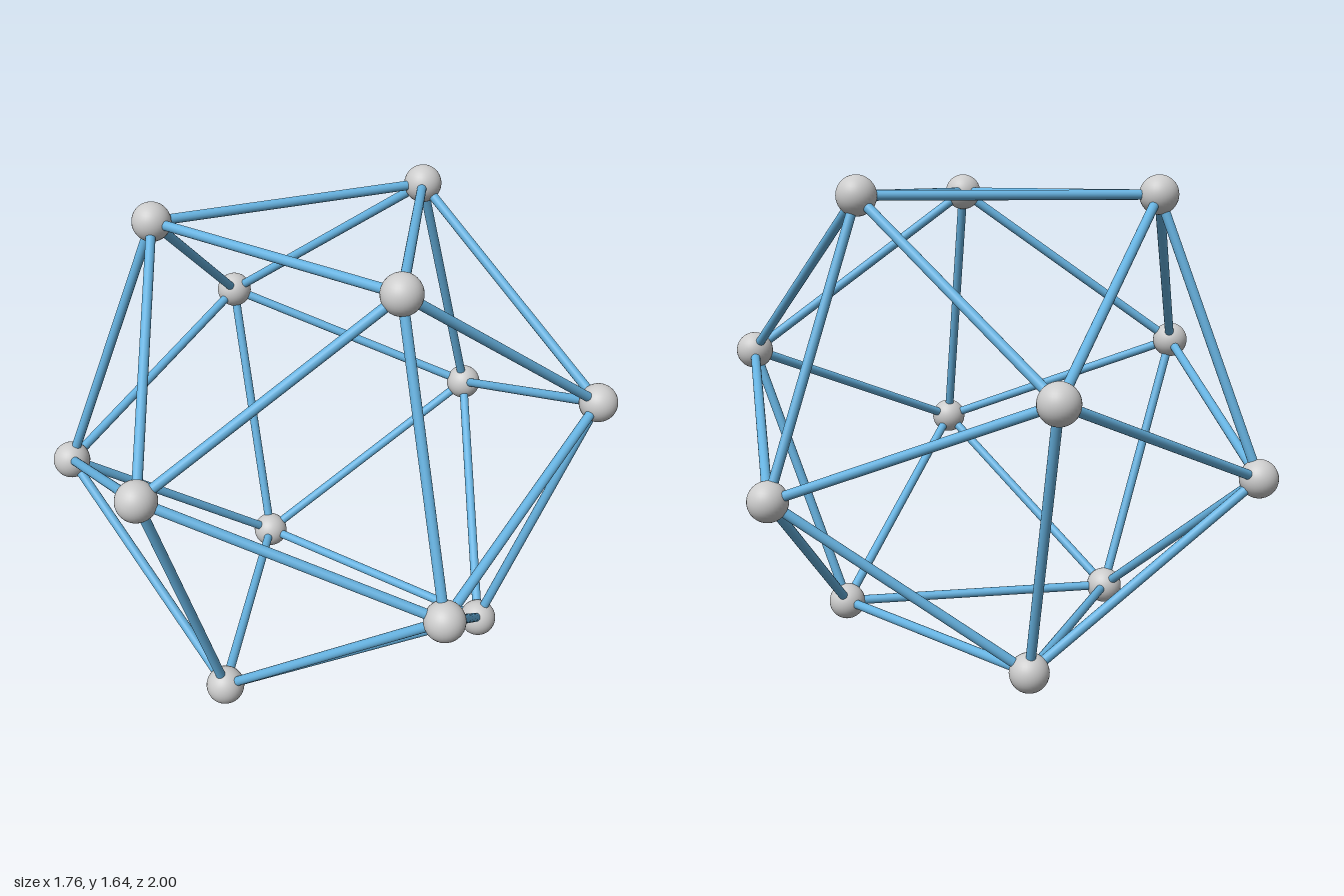
import * as THREE from 'three';

const EDGE = 1, BALL_R = 0.066, ROD_R = 0.0165;

export function createModel() {
  const model = new THREE.Group();
  model.name = 'icosahedronFrame';
  const ballMat = new THREE.MeshStandardMaterial({ color: 0xcccccc });
  const rodMat = new THREE.MeshStandardMaterial({ color: 0x66b2e0 });

  // Icosahedron resting on a face: four triangular rings of corners
  const phi = (1 + Math.sqrt(5)) / 2;
  const small = EDGE / Math.sqrt(3), large = small * phi;
  const height = EDGE * phi * phi / Math.sqrt(3);
  const step = EDGE * Math.sqrt(2 / 3 - (phi - 1) ** 2 / 3 + 1 / 3 - (1 - (phi - 1) ** 2 / 3) + 0); // filled below by geometry
  const drop = Math.sqrt(EDGE ** 2 - (large ** 2 + small ** 2 - large * small)) || step;
  const rings = [
    { name: 'top', r: small, y: height, turn: 0 },
    { name: 'upper', r: large, y: height - drop, turn: Math.PI },
    { name: 'lower', r: large, y: drop, turn: 0 },
    { name: 'bottom', r: small, y: 0, turn: Math.PI },
  ];
  const corners = [];
  for (const ring of rings) {
    for (let i = 0; i < 3; i++) {
      const a = ring.turn + i * Math.PI * 2 / 3;
      corners.push({
        name: ring.name,
        p: new THREE.Vector3(ring.r * Math.sin(a), ring.y + BALL_R, ring.r * Math.cos(a)),
      });
    }
  }

  // Ball joints
  const ballGeo = new THREE.SphereGeometry(BALL_R, 32, 20);
  for (const c of corners) {
    const ball = new THREE.Mesh(ballGeo, ballMat);
    ball.name = c.name + 'Joint';
    ball.position.copy(c.p);
    model.add(ball);
  }

  // Rods between every pair of neighbouring corners
  const rodGeo = new THREE.CylinderGeometry(ROD_R, ROD_R, EDGE, 20);
  const up = new THREE.Vector3(0, 1, 0);
  corners.forEach((a, i) => corners.slice(i + 1).forEach((b) => {
    const dir = b.p.clone().sub(a.p);
    if (dir.length() > EDGE * 1.1) return;
    const rod = new THREE.Mesh(rodGeo, rodMat);
    rod.name = a.name + 'Rod';
    rod.position.copy(a.p).add(b.p).multiplyScalar(0.5);
    rod.quaternion.setFromUnitVectors(up, dir.normalize());
    model.add(rod);
  }));

  model.rotation.y = -0.006;
  return model;
}
